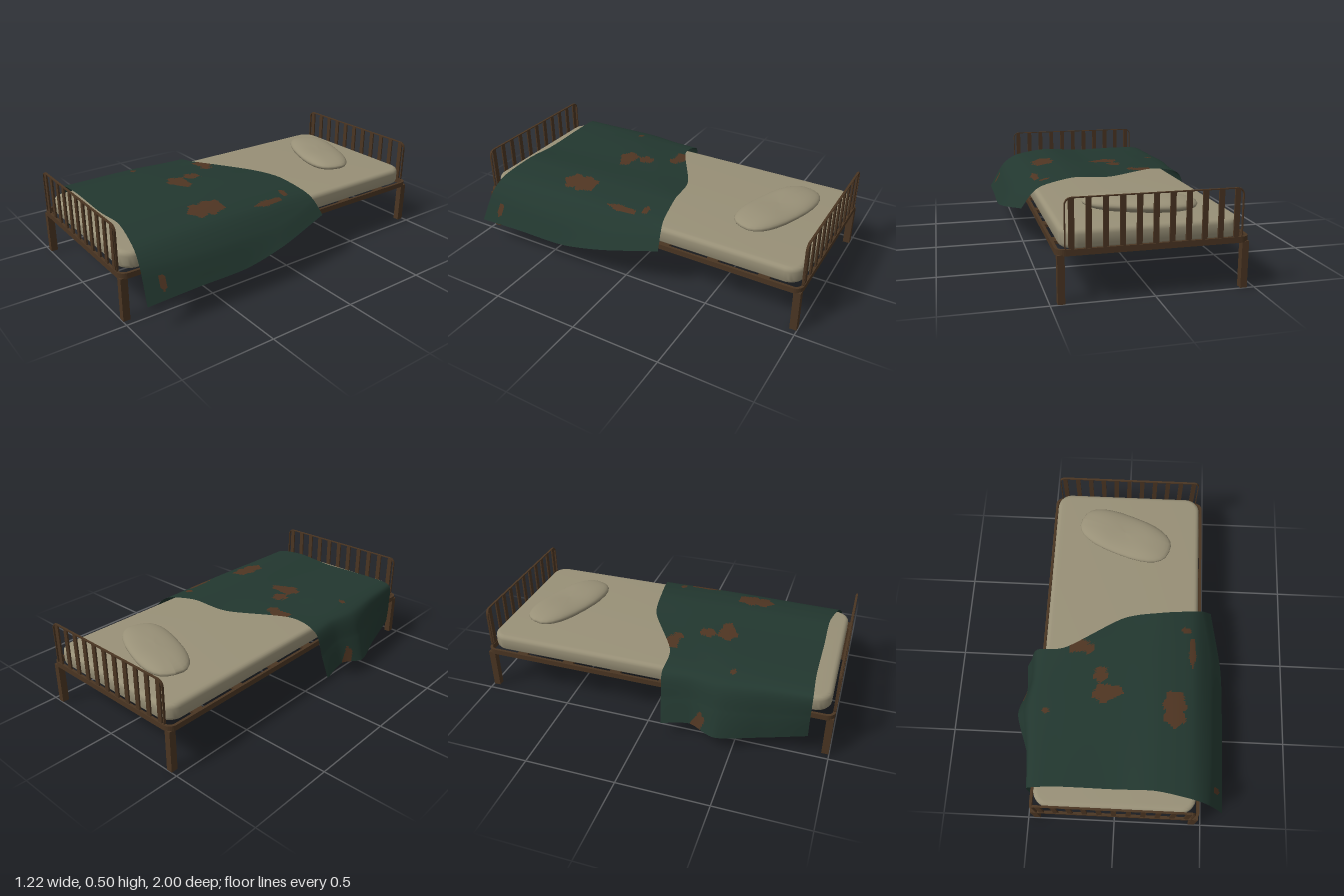
import * as THREE from 'three';
import { toCreasedNormals } from 'three/addons/utils/BufferGeometryUtils.js';

const mat = (name, color, side = THREE.FrontSide) => {
  const m = new THREE.MeshStandardMaterial({ color, side });
  m.name = name;
  return m;
};

// Rectangle with rounded corners, centred on the origin
function roundedRect(w, h, r, Type = THREE.Shape) {
  const s = new Type(), x = w / 2, y = h / 2, q = Math.PI / 2;
  s.absarc(x - r, y - r, r, 0, q);
  s.absarc(-x + r, y - r, r, q, 2 * q);
  s.absarc(-x + r, -y + r, r, 2 * q, 3 * q);
  s.absarc(x - r, -y + r, r, 3 * q, 4 * q);
  s.closePath();
  return s;
}

// Closed band with rounded corners, extruded along z
function band(w, h, r, t, depth) {
  const shape = roundedRect(w, h, r);
  shape.holes.push(roundedRect(w - 2 * t, h - 2 * t, r - t, THREE.Path));
  const g = new THREE.ExtrudeGeometry(shape, { depth, bevelEnabled: false, curveSegments: 4 });
  return g.translate(0, 0, -depth / 2);
}

// Blanket cross-sections from the pillow end to the foot end, hem to hem
const SECTIONS = [
  [[-.58, .075, .10], [-.54, .2, .09], [-.49, .345, .08], [-.32, .385, .07], [0, .39, -.12], [.22, .405, -.16], [.4, .375, -.19], [.47, .335, -.21], [.53, .26, -.228]],
  [[-.565, .10, .26], [-.53, .23, .25], [-.48, .355, .24], [-.31, .385, .22], [0, .398, .1], [.22, .405, .07], [.42, .37, .06], [.52, .29, .06], [.595, .195, .1]],
  [[-.61, .08, .41], [-.56, .22, .42], [-.5, .355, .42], [-.31, .39, .4], [0, .395, .36], [.22, .405, .35], [.42, .37, .34], [.53, .28, .35], [.61, .15, .36]],
  [[-.535, .08, .64], [-.515, .22, .66], [-.48, .362, .67], [-.31, .387, .65], [0, .388, .64], [.22, .4, .64], [.42, .365, .64], [.53, .28, .65], [.61, .145, .66]],
  [[-.48, .11, .88], [-.485, .24, .88], [-.47, .365, .88], [-.31, .385, .87], [0, .38, .87], [.22, .395, .87], [.42, .36, .9], [.52, .29, .92], [.61, .135, .94]],
];

// Stains as ellipses seen from above: x, z, x radius, z radius, turn
const STAINS = [
  [-.25, .06, .06, .035, -.5], [-.19, .075, .035, .03, 0],
  [-.11, .23, .04, .045, 0], [-.09, .34, .06, .055, 0], [-.03, .325, .05, .035, 0],
  [.315, .38, .065, .07, 0], [.315, .45, .06, .07, 0],
  [.413, .065, .02, .09, 0], [.375, -.065, .032, .018, .1],
  [-.41, .45, .02, .018, 0], [.57, .83, .02, .018, 0], [-.575, .3, .018, .04, 0],
];

function isStained(x, z) {
  return STAINS.some(([cx, cz, rx, rz, a]) => {
    const dx = x - cx, dz = z - cz, c = Math.cos(a), s = Math.sin(a);
    const u = (dx * c + dz * s) / rx, v = (dz * c - dx * s) / rz;
    const wobble = 1 + .12 * Math.sin(5 * Math.atan2(v, u));
    return Math.hypot(u, v) < wobble;
  });
}

function blanketGeometry(nu = 130, nv = 100) {
  const curve = pts => new THREE.CatmullRomCurve3(pts, false, 'catmullrom', .4);
  const across = SECTIONS.map(row => curve(row.map(p => new THREE.Vector3(...p))));
  const pos = [], clean = [], stained = [];
  for (let i = 0; i <= nu; i++) {
    const along = curve(across.map(c => c.getPoint(i / nu)));
    for (let j = 0; j <= nv; j++) pos.push(...along.getPoint(j / nv).toArray());
  }
  const addFace = (...f) => {
    const mean = k => f.reduce((sum, n) => sum + pos[n * 3 + k], 0) / 3;
    (isStained(mean(0), mean(2)) ? stained : clean).push(...f);
  };
  for (let i = 0; i < nu; i++) for (let j = 0; j < nv; j++) {
    const a = i * (nv + 1) + j, b = a + nv + 1;
    addFace(a, a + 1, b);
    addFace(b, a + 1, b + 1);
  }
  const g = new THREE.BufferGeometry();
  g.setAttribute('position', new THREE.Float32BufferAttribute(pos, 3));
  g.setIndex([...clean, ...stained]);
  g.addGroup(0, clean.length, 0);
  g.addGroup(clean.length, stained.length, 1);
  g.computeVertexNormals();
  return g;
}

// Cushion with squared-off plan, thin seam and a slight dip in the middle
function pillowGeometry() {
  const g = new THREE.SphereGeometry(1, 28, 16), p = g.attributes.position;
  const soft = (v, e) => Math.sign(v) * Math.abs(v) ** e;
  for (let i = 0; i < p.count; i++) {
    const x = p.getX(i), y = p.getY(i), z = p.getZ(i);
    const dip = y > 0 ? 1 - .22 * Math.exp(-x * x * 12) : 1;
    p.setXYZ(i, soft(x, .8) * .29, y * dip * .042, soft(z, .75) * .137);
  }
  g.computeVertexNormals();
  return g;
}

export function createModel() {
  const group = new THREE.Group();
  const wood = mat('brown frame', 0x4a3522);
  const linen = mat('beige linen', 0x989077);
  const green = mat('dark green wool', 0x22372f, THREE.DoubleSide);
  const rust = mat('brown stain', 0x4f3522, THREE.DoubleSide);

  const add = (name, geo, material, x = 0, y = 0, z = 0, parent = group) => {
    const m = new THREE.Mesh(geo, material);
    m.name = name;
    m.position.set(x, y, z);
    parent.add(m);
    return m;
  };

  // Bed base: rail ring, legs and cross slats
  add('bedRail', band(.94, 2, .045, .015, .03).rotateX(Math.PI / 2), wood, 0, .245, 0);
  const leg = new THREE.BoxGeometry(.034, .235, .038);
  for (const sx of [-1, 1]) for (const sz of [-1, 1]) add('leg', leg, wood, sx * .447, .1175, sz * .979);
  const slat = new THREE.BoxGeometry(.925, .016, .062);
  for (let i = 0; i < 6; i++) add('crossSlat', slat, wood, 0, .241, -.79 + i * .288);

  // Headboard and footboard: thin hoop with eleven upright bars
  const hoop = band(.86, .26, .035, .005, .012);
  const bar = new THREE.BoxGeometry(.027, .25, .009);
  for (const [name, z] of [['headboard', -.992], ['footboard', .992]]) {
    const board = new THREE.Group();
    board.name = name;
    board.position.z = z;
    group.add(board);
    add('hoop', hoop, wood, 0, .37, 0, board);
    for (let i = -5; i <= 5; i++) add('uprightBar', bar, wood, i * .0795, .373, 0, board);
  }

  // Mattress with softened edges
  const mattress = new THREE.ExtrudeGeometry(roundedRect(.84, 1.9, .06), {
    depth: .045, bevelSize: .025, bevelThickness: .025, bevelSegments: 4, curveSegments: 5,
  });
  add('mattress', toCreasedNormals(mattress.rotateX(-Math.PI / 2), .7), linen, 0, .275, -.005);

  // Pillow lying askew
  add('pillow', pillowGeometry(), linen, -.01, .379, -.678).rotation.y = -.36;

  // Draped blanket with stains
  add('blanket', blanketGeometry(), [green, rust]);
  return group;
}
